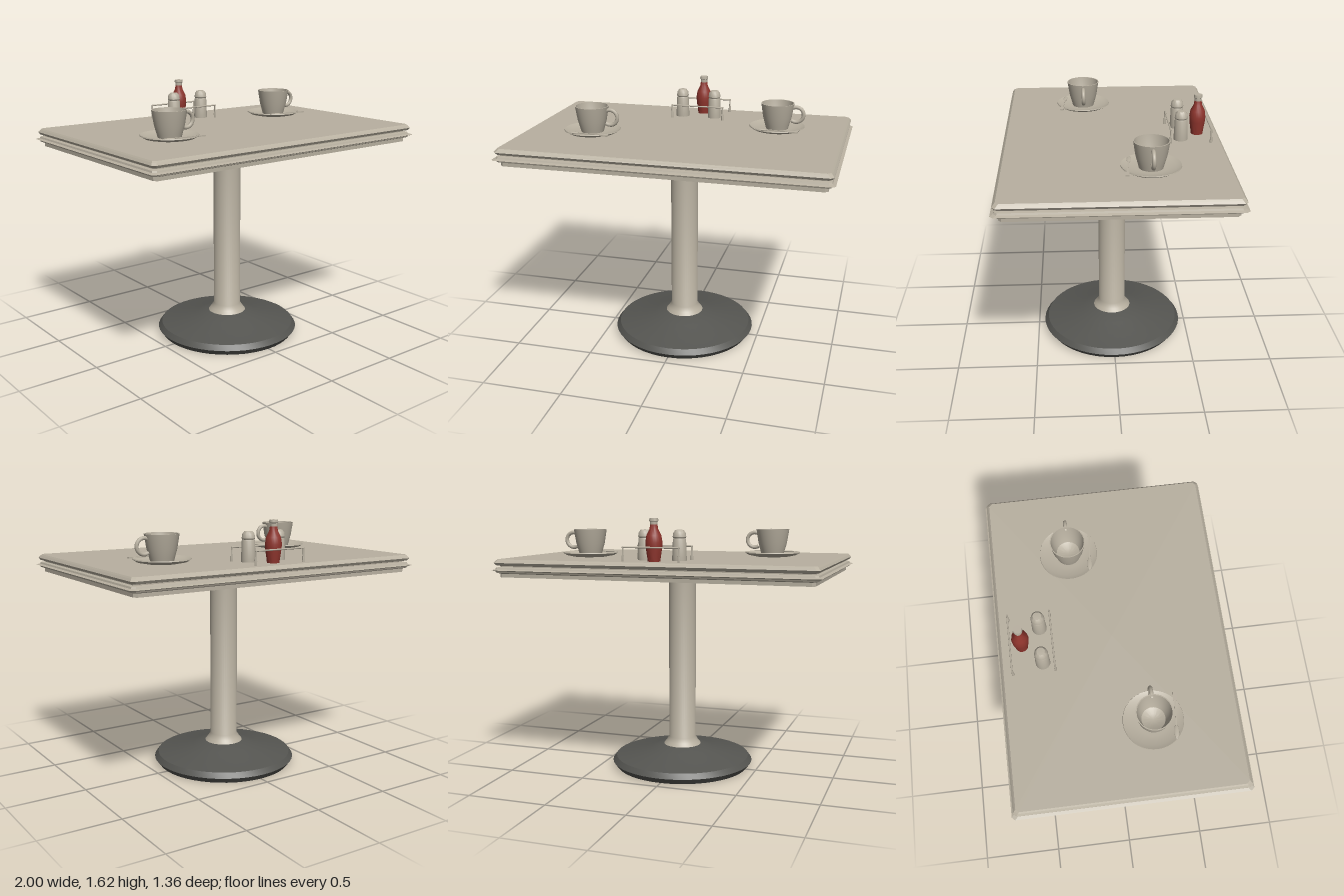
import * as THREE from 'three';
import { toCreasedNormals } from 'three/addons/utils/BufferGeometryUtils.js';

const mat = (name, color) => {
  const m = new THREE.MeshStandardMaterial({ color });
  m.name = name;
  return m;
};

export function createModel() {
  const beige = mat('warm beige', 0xb8b0a0);
  const dark = mat('dark iron', 0x555551);
  const red = mat('sauce red', 0x8f352d);
  const TOP = 1.374;

  const add = (parent, name, geo, material, x = 0, y = 0, z = 0) => {
    const m = new THREE.Mesh(geo, material);
    m.name = name;
    m.position.set(x, y, z);
    parent.add(m);
    return m;
  };
  // Turned part from [radius, height] pairs, listed bottom to top
  const turned = (pts, seg = 32, crease = 0.6) => toCreasedNormals(
    new THREE.LatheGeometry(pts.map(([r, y]) => new THREE.Vector2(r, y)), seg), crease);

  // Slab lofted through chamfered rectangles: [inset, height, scale]
  const slab = (hx, hz, levels, chamfer) => {
    const rings = levels.map(([inset, y, s = 1]) => {
      const x = hx - inset, z = hz - inset, c = chamfer;
      return [[x, z - c], [x, c - z], [x - c, -z], [c - x, -z],
        [-x, c - z], [-x, z - c], [c - x, z], [x - c, z]].map(([px, pz]) => [px * s, y, pz * s]);
    });
    const pos = [];
    for (let i = 0; i < rings.length - 1; i++) {
      for (let j = 0; j < 8; j++) {
        const k = (j + 1) % 8;
        const a = rings[i][j], b = rings[i][k], c = rings[i + 1][k], d = rings[i + 1][j];
        if (levels[i][2] !== 0) pos.push(...a, ...b, ...c);
        if (levels[i + 1][2] !== 0) pos.push(...a, ...c, ...d);
      }
    }
    const g = new THREE.BufferGeometry();
    g.setAttribute('position', new THREE.Float32BufferAttribute(pos, 3));
    g.computeVertexNormals();
    return g;
  };

  const model = new THREE.Group();
  model.name = 'diningTable';

  // Table top with two ridged edge bands
  add(model, 'tableTop', slab(1, 0.68, [
    [0.04, 1.265, 0], [0.04, 1.265], [0.04, 1.287], [0.022, 1.293], [0.018, 1.302], [0, 1.308],
    [0.018, 1.314], [0.022, 1.324], [0.042, 1.328], [0.042, 1.334], [0.022, 1.338], [0.012, 1.353],
    [0.022, 1.366], [0.03, TOP], [0.03, TOP, 0]], 0.018), beige);

  // Pedestal
  add(model, 'base', turned([[0, 0], [0.432, 0], [0.459, 0.036], [0.435, 0.068],
    [0.2, 0.115], [0.13, 0.14], [0, 0.14]], 48), dark);
  add(model, 'column', turned([[0.123, 0.138], [0.105, 0.16], [0.087, 0.19], [0.087, 1.225],
    [0.13, 1.238], [0.208, 1.266]], 40), beige);

  // Cups, each with saucer and spoon
  const saucer = turned([[0, 0], [0.1, 0], [0.15, 0.01], [0.174, 0.024], [0.172, 0.03],
    [0.145, 0.019], [0.09, 0.012], [0, 0.012]], 40);
  const cup = turned([[0, 0.012], [0.07, 0.012], [0.076, 0.035], [0.09, 0.085], [0.104, 0.172],
    [0.098, 0.172], [0.085, 0.09], [0.068, 0.045], [0.035, 0.028], [0, 0.025]], 40);
  const handle = new THREE.TorusGeometry(0.047, 0.012, 10, 24, 4.3);
  handle.rotateZ(-2.2);
  const spoonBowl = new THREE.SphereGeometry(1, 16, 10);
  spoonBowl.scale(0.045, 0.005, 0.014);
  [[0.553, -0.195], [-0.55, 0.167]].forEach(([x, z], i) => {
    const set = new THREE.Group();
    set.name = 'cupSet' + (i + 1);
    set.position.set(x, TOP, z);
    model.add(set);
    add(set, 'saucer', saucer, beige);
    add(set, 'cup', cup, beige);
    add(set, 'cupHandle', handle, beige, 0.117, 0.104, 0);
    const spoon = new THREE.Group();
    spoon.name = 'spoon';
    spoon.position.set(0, 0.027, 0.129);
    spoon.rotation.y = -0.1;
    set.add(spoon);
    add(spoon, 'spoonBowl', spoonBowl, beige, -0.085, 0, 0);
    add(spoon, 'spoonStem', new THREE.BoxGeometry(0.17, 0.006, 0.008), beige, 0.03, 0, 0);
    add(spoon, 'spoonEnd', new THREE.BoxGeometry(0.05, 0.008, 0.022), beige, 0.124, 0, 0);
  });

  // Salt and pepper shakers
  const shaker = turned([[0, 0], [0.043, 0], [0.043, 0.02], [0.039, 0.125], [0.036, 0.132],
    [0.04, 0.14], [0.036, 0.165], [0.024, 0.18], [0, 0.182]], 20);
  add(model, 'rightShaker', shaker, beige, -0.12, TOP, -0.417);
  add(model, 'leftShaker', shaker, beige, 0.097, TOP, -0.417);

  // Sauce bottle
  add(model, 'sauceBottle', turned([[0, 0], [0.037, 0], [0.039, 0.02], [0.048, 0.08], [0.05, 0.11],
    [0.044, 0.15], [0.026, 0.185], [0.021, 0.215], [0, 0.215]], 24), red, -0.002, TOP, -0.53);
  add(model, 'bottleCap', turned([[0, 0.212], [0.022, 0.212], [0.022, 0.23], [0.027, 0.234],
    [0.025, 0.25], [0, 0.25]], 20), beige, -0.002, TOP, -0.53);

  // Rack: a rail in front and behind, on footed posts
  const rail = new THREE.CylinderGeometry(0.005, 0.005, 0.352, 8);
  rail.rotateZ(Math.PI / 2);
  const post = turned([[0, 0], [0.008, 0], [0.008, 0.025], [0.005, 0.045], [0.005, 0.086], [0, 0.086]], 8);
  for (const z of [-0.594, -0.348]) {
    add(model, 'rackRail', rail, beige, -0.004, TOP + 0.083, z);
    for (const s of [-1, 1]) add(model, 'rackPost', post, beige, -0.004 + s * 0.171, TOP, z);
  }
  return model;
}
